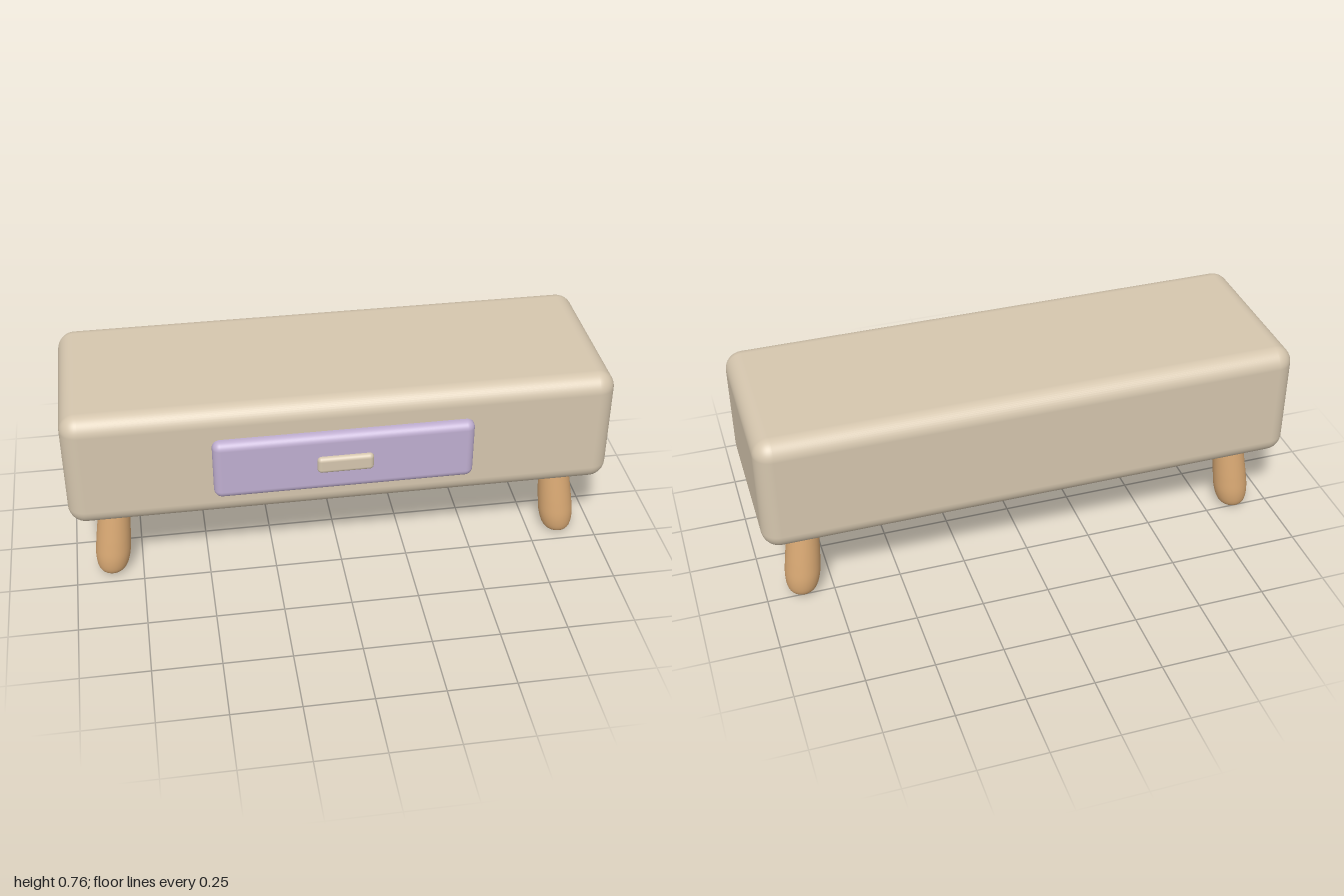
import * as THREE from 'three';
import { RoundedBoxGeometry } from 'three/addons/geometries/RoundedBoxGeometry.js';

const material = (name, color) => {
  const m = new THREE.MeshStandardMaterial({ color });
  m.name = name;
  return m;
};

export function createModel() {
  const group = new THREE.Group();
  const cream = material('cream', 0xd5c6ae);
  const lilac = material('lilac', 0xbfaed0);
  const wood = material('wood', 0xd8a873);

  const add = (name, geometry, mat) => {
    const mesh = new THREE.Mesh(geometry, mat);
    mesh.name = name;
    group.add(mesh);
  };

  // Rounded box given by its minimum and maximum corners
  const block = (name, min, max, radius, mat) => {
    const s = max.map((v, i) => v - min[i]);
    const geometry = new RoundedBoxGeometry(s[0], s[1], s[2], 6, radius);
    geometry.translate(...max.map((v, i) => (v + min[i]) / 2));
    add(name, geometry, mat);
  };

  block('cabinet', [-0.998, 0.313, -0.361], [0.998, 0.766, 0.31], 0.065, cream);
  block('drawerFront', [-0.474, 0.413, 0.22], [0.471, 0.649, 0.346], 0.03, lilac);
  block('drawerHandle', [-0.104, 0.498, 0.3], [0.1, 0.564, 0.363], 0.016, cream);

  // Leg: rounded foot, tapering towards the cabinet
  const profile = new THREE.SplineCurve([
    [0.001, 0.002], [0.026, 0.006], [0.046, 0.018], [0.058, 0.042], [0.065, 0.085],
    [0.0645, 0.14], [0.062, 0.2], [0.057, 0.3], [0.055, 0.36],
  ].map(([r, y]) => new THREE.Vector2(r, y))).getPoints(36);

  // Splayed legs: a slanted axis from foot to cabinet
  for (const sx of [1, -1]) {
    for (const [end, footZ, slopeZ] of [['front', 0.176, -0.095], ['back', -0.225, 0.09]]) {
      const geometry = new THREE.LatheGeometry(profile, 32);
      geometry.applyMatrix4(new THREE.Matrix4().set(
        1, -0.1 * sx, 0, 0.866 * sx,
        0, 1, 0, 0,
        0, slopeZ, 1, footZ,
        0, 0, 0, 1));
      add(`${end}${sx > 0 ? 'Left' : 'Right'}Leg`, geometry, wood);
    }
  }
  return group;
}
